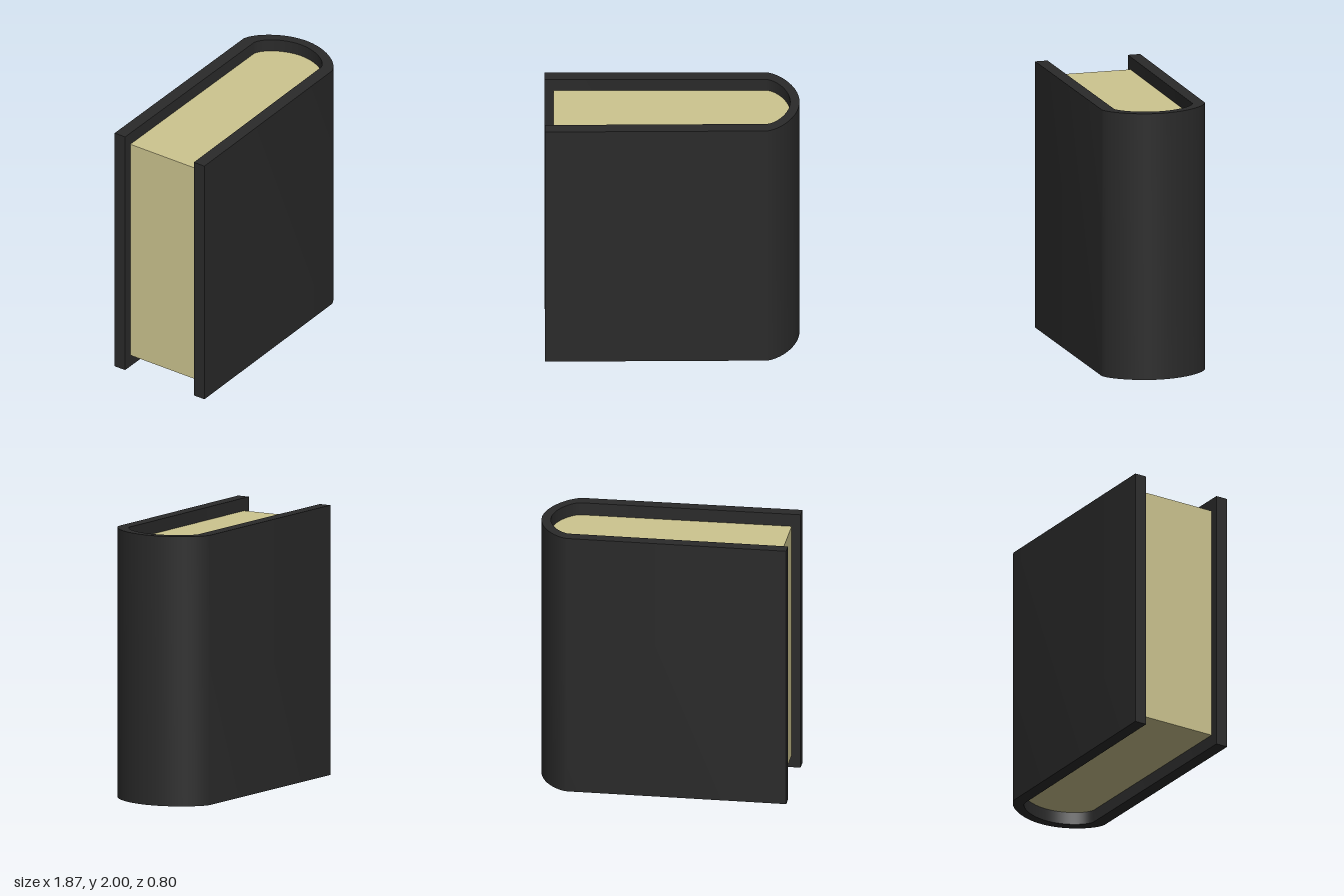
import * as THREE from 'three';
import { toCreasedNormals } from 'three/addons/utils/BufferGeometryUtils.js';

// Half outlines (x, z) of the rounded spine, from the board to the spine's middle
const OUTER = [[0.69, 0.395], [0.79, 0.375], [0.93, 0.2], [0.93, 0]];
const INNER = [[0.69, 0.3], [0.765, 0.285], [0.862, 0.15], [0.862, 0]];

// Full U outline from one board's fore edge, around the spine, to the other
function outline(x0, z0, curve) {
  const bezier = new THREE.CubicBezierCurve(...curve.map(([x, z]) => new THREE.Vector2(x, z)));
  const half = [new THREE.Vector2(x0, z0), ...bezier.getPoints(20)];
  const mirrored = half.slice(0, -1).reverse().map((p) => new THREE.Vector2(p.x, -p.y));
  return [...half, ...mirrored];
}

// Upright prism standing on the given height
function prism(name, points, bottom, height, color) {
  let geometry = new THREE.ExtrudeGeometry(new THREE.Shape(points), { depth: height, bevelEnabled: false });
  geometry.rotateX(-Math.PI / 2);
  geometry.translate(0, bottom, 0);
  geometry = toCreasedNormals(geometry, 0.6);
  const mesh = new THREE.Mesh(geometry, new THREE.MeshStandardMaterial({ color }));
  mesh.name = name;
  return mesh;
}

export function createModel() {
  const book = new THREE.Group();
  book.name = 'book';

  // Cover: two boards joined by the curved spine
  const outside = outline(-0.935, 0.402, OUTER);
  const inside = outline(-0.935, 0.308, INNER).reverse();
  book.add(prism('cover', [...outside, ...inside], 0, 2, 0x2a2a2a));

  // Page block, set in from the cover at the head, foot and fore edge
  book.add(prism('pages', outline(-0.87, 0.3075, INNER), 0.095, 1.81, 0xcdc58f));

  return book;
}
